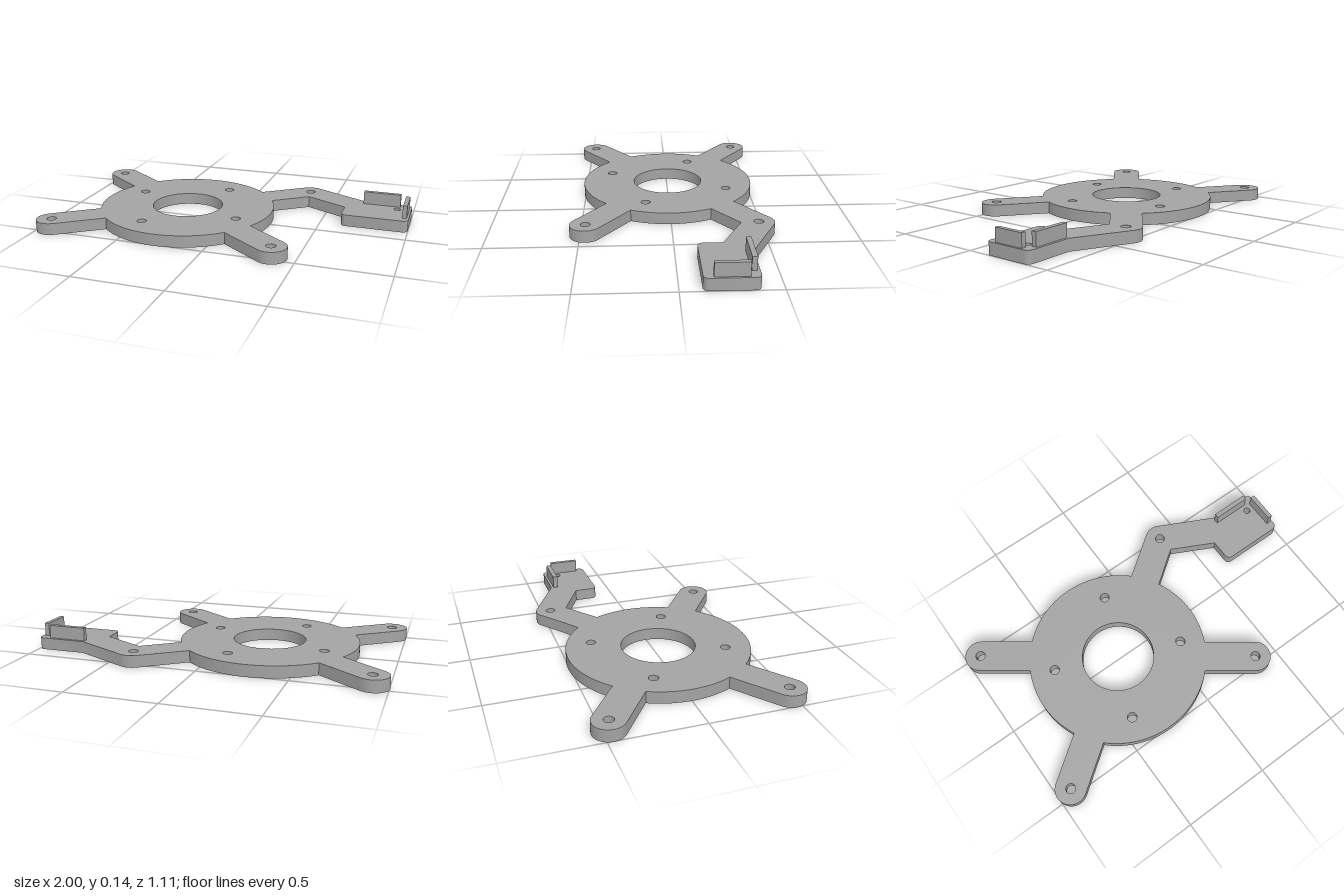
import * as THREE from 'three';
import { toCreasedNormals } from 'three/addons/utils/BufferGeometryUtils.js';

const THICK = 0.067;
const CX = -0.275, DISC_R = 0.51, BORE_R = 0.206;
const ARM_X = 0.642, ARM_Z = 0.468, ARM_R = 0.087, HOLE_R = 0.027;

export function createModel() {
  const group = new THREE.Group();
  group.name = 'mountingBracket';
  const grey = new THREE.MeshStandardMaterial({ color: 0xa3a3a3 });
  grey.name = 'grey plastic';

  // Outline in plan (shape y is -z), anticlockwise from the extension arm
  const shape = new THREE.Shape();
  const armAngle = Math.atan2(ARM_Z, ARM_X);
  const half = Math.asin(ARM_R / DISC_R);
  const arms = [armAngle, Math.PI - armAngle, Math.PI + armAngle, 2 * Math.PI - armAngle];
  const ext = THREE.MathUtils.degToRad(63);

  arms.forEach((a, i) => {
    const ex = CX + Math.sign(Math.cos(a)) * ARM_X;
    const ey = Math.sign(Math.sin(a)) * ARM_Z;
    const start = [CX + DISC_R * Math.cos(a - half), DISC_R * Math.sin(a - half)];
    if (i === 0) {
      // Bent arm leading to the rounded sensor plate
      const r = 0.03, x0 = 0.62, x1 = 0.998, y0 = 0.112, y1 = 0.388;
      shape.moveTo(...start);
      shape.lineTo(0.377, 0.37);
      shape.lineTo(x0, 0.247);
      shape.lineTo(x0, y0 + r);
      shape.absarc(x0 + r, y0 + r, r, Math.PI, 1.5 * Math.PI, false);
      shape.absarc(x1 - r, y0 + r, r, 1.5 * Math.PI, 2 * Math.PI, false);
      shape.absarc(x1 - r, y1 - r, r, 0, Math.PI / 2, false);
      shape.lineTo(0.72, y1);
      shape.absarc(ex, ey, ARM_R, ext, a + Math.PI / 2, false);
    } else {
      shape.absarc(ex, ey, ARM_R, a - Math.PI / 2, a + Math.PI / 2, false);
    }
    // Disc rim to the next arm
    const next = i < 3 ? arms[i + 1] : arms[0] + 2 * Math.PI;
    shape.absarc(CX, 0, DISC_R, a + half, next - half, false);
  });

  // Centre bore, arm holes, disc holes and sensor plate hole: x, z, radius
  const holes = [
    [CX, 0, BORE_R],
    [-0.13, -0.345, HOLE_R], [-0.617, -0.145, HOLE_R],
    [0.07, 0.14, HOLE_R], [-0.418, 0.342, HOLE_R],
    [0.918, -0.305, 0.019],
  ];
  for (const sx of [-1, 1]) for (const sz of [-1, 1]) {
    holes.push([CX + sx * ARM_X, sz * ARM_Z, HOLE_R]);
  }
  for (const [x, z, r] of holes) {
    const path = new THREE.Path();
    path.absarc(x, -z, r, 0, Math.PI * 2, true);
    shape.holes.push(path);
  }

  let plate = new THREE.ExtrudeGeometry(shape, { depth: THICK, bevelEnabled: false, curveSegments: 32 });
  plate.rotateX(-Math.PI / 2);
  plate = toCreasedNormals(plate, 0.5);
  const base = new THREE.Mesh(plate, grey);
  base.name = 'basePlate';
  group.add(base);

  // Two upright walls on the sensor plate
  const wall = (name, x0, x1, z0, z1) => {
    const h = 0.141 - THICK;
    const m = new THREE.Mesh(new THREE.BoxGeometry(x1 - x0, h, z1 - z0), grey);
    m.position.set((x0 + x1) / 2, THICK + h / 2, (z0 + z1) / 2);
    m.name = name;
    group.add(m);
  };
  wall('backWall', 0.715, 0.931, -0.373, -0.346);
  wall('sideWall', 0.961, 0.986, -0.335, -0.162);

  return group;
}
